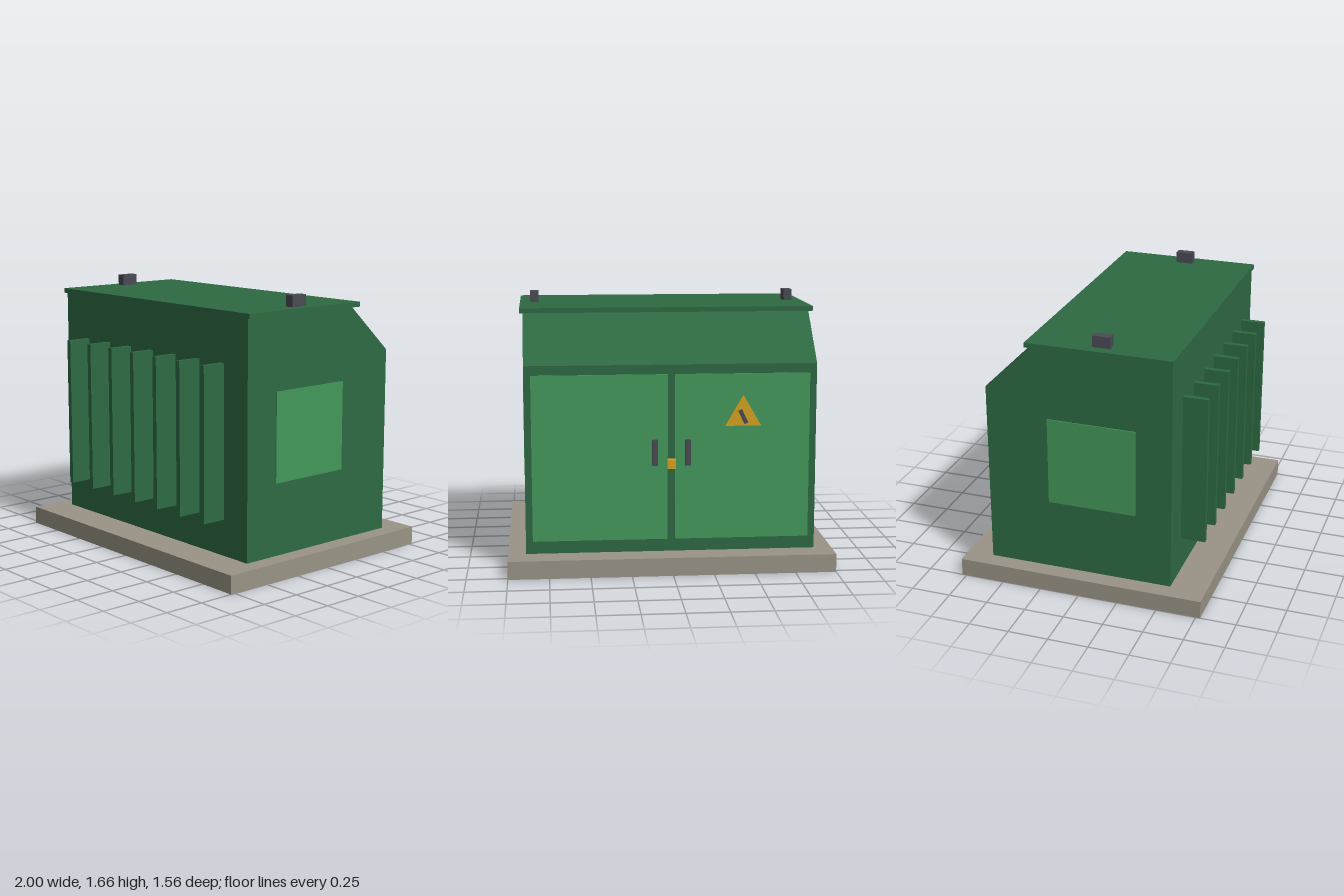
import * as THREE from 'three';

const paint = (name, color) => {
  const m = new THREE.MeshStandardMaterial({ color });
  m.name = name;
  return m;
};

export function createModel() {
  const green = paint('cabinetGreen', 0x2e6a43);
  const light = paint('panelGreen', 0x43995a);
  const concrete = paint('concrete', 0x999486);
  const dark = paint('darkMetal', 0x4a4a55);
  const yellow = paint('warningYellow', 0xd4a322);

  const model = new THREE.Group();
  model.name = 'utilityCabinet';

  const add = (name, geometry, material) => {
    const mesh = new THREE.Mesh(geometry, material);
    mesh.name = name;
    model.add(mesh);
    return mesh;
  };
  // Box given by its limits on each axis
  const box = (name, material, [x0, x1], [y0, y1], [z0, z1]) => {
    const mesh = add(name, new THREE.BoxGeometry(x1 - x0, y1 - y0, z1 - z0), material);
    mesh.position.set((x0 + x1) / 2, (y0 + y1) / 2, (z0 + z1) / 2);
    return mesh;
  };
  const polygon = (points) => new THREE.Shape(points.map(([x, y]) => new THREE.Vector2(x, y)));

  // Plinth
  box('plinth', concrete, [-1, 1], [0, 0.112], [-0.778, 0.778]);

  // Body: side profile with a sloped rear top, extruded across x (shape x becomes -z)
  const profile = polygon([[-0.556, 0.112], [0.611, 0.112], [0.611, 1.27], [0.295, 1.56], [-0.556, 1.56]]);
  const bodyGeometry = new THREE.ExtrudeGeometry(profile, { depth: 1.78, bevelEnabled: false });
  bodyGeometry.translate(0, 0, -0.89).rotateY(Math.PI / 2);
  add('body', bodyGeometry, green);

  // Roof plate
  box('roof', green, [-0.911, 0.911], [1.56, 1.59], [-0.345, 0.565]);

  // Cooling fins on the front
  for (let i = -3; i <= 3; i++) {
    const x = i * 0.2222;
    box('coolingFin', green, [x - 0.016, x + 0.016], [0.335, 1.28], [0.55, 0.71]);
  }

  // Mirrored parts
  for (const s of [-1, 1]) {
    const span = (a, b) => (s > 0 ? [a, b] : [-b, -a]);
    box('liftingLug', dark, span(0.793, 0.847), [1.585, 1.66], [0.055, 0.165]);
    box('sidePanel', light, span(0.888, 0.897), [0.56, 1.112], [-0.22, 0.332]);
    box('door', light, span(0.022, 0.848), [0.19, 1.212], [-0.619, -0.61]);
    box('doorHandle', dark, span(0.083, 0.117), [0.655, 0.812], [-0.65, -0.615]);
  }

  // Padlock between the doors
  box('padlock', yellow, [-0.026, 0.026], [0.636, 0.692], [-0.652, -0.61]);

  // Warning triangle with a slanted mark
  const sign = polygon([[-0.11, 0], [0.11, 0], [0, 0.19]]);
  const signGeometry = new THREE.ExtrudeGeometry(sign, { depth: 0.009, bevelEnabled: false });
  add('warningSign', signGeometry, yellow).position.set(-0.438, 0.892, -0.628);
  const mark = box('warningMark', dark, [-0.45, -0.425], [0.903, 0.993], [-0.635, -0.627]);
  mark.rotation.z = -0.45;

  return model;
}
